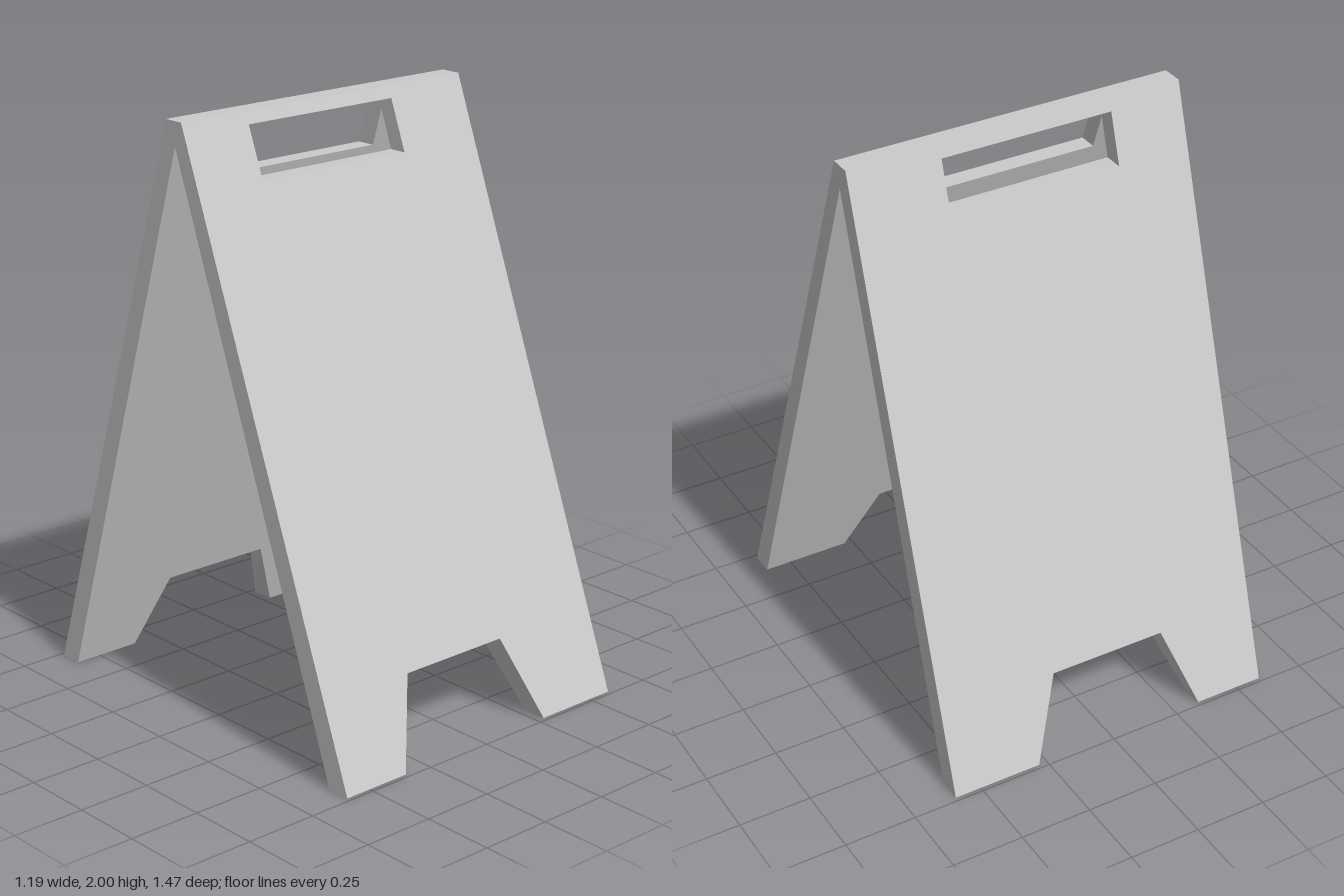
import * as THREE from 'three';

const W = 0.593, H = 2;
const NOTCH_TOP = 0.28, NOTCH_INNER_TOP = 0.242;

// Outline of one board: foot notch at the bottom, grip slot near the top
function boardShape() {
  const shape = new THREE.Shape([
    [-W, 0], [-0.345, 0], [-0.24, NOTCH_TOP], [0.175, NOTCH_TOP],
    [0.28, 0], [W, 0], [W, H], [-W, H],
  ].map(([x, y]) => new THREE.Vector2(x, y)));
  shape.holes.push(new THREE.Path([
    [-0.335, 1.79], [-0.335, 1.96], [0.273, 1.96], [0.273, 1.79],
  ].map(([x, y]) => new THREE.Vector2(x, y))));
  return shape;
}

// Lean a board: each face runs from z at the foot to z at the top
function makeBoard(name, backFace, frontFace, innerIsBack, material) {
  const geometry = new THREE.ExtrudeGeometry(boardShape(), { depth: 1, bevelEnabled: false });
  const p = geometry.attributes.position;
  for (let i = 0; i < p.count; i++) {
    const isFront = p.getZ(i) > 0.5;
    let y = p.getY(i);
    // the notch is cut square to the leaning board, so its inner edge is lower
    if (isFront !== innerIsBack && Math.abs(y - NOTCH_TOP) < 1e-4) y = NOTCH_INNER_TOP;
    const [foot, top] = isFront ? frontFace : backFace;
    p.setXYZ(i, p.getX(i), y, THREE.MathUtils.lerp(foot, top, y / H));
  }
  geometry.computeVertexNormals();
  const mesh = new THREE.Mesh(geometry, material);
  mesh.name = name;
  return mesh;
}

export function createModel() {
  const group = new THREE.Group();
  group.name = 'foldingSignBoard';
  const material = new THREE.MeshStandardMaterial({ color: 0xcccccc, flatShading: true });

  // The boards cross inside the ridge and merge into one peak
  group.add(
    makeBoard('frontBoard', [0.652, -0.09], [0.735, -0.028], true, material),
    makeBoard('backBoard', [-0.735, -0.102], [-0.653, -0.035], false, material),
  );
  return group;
}
